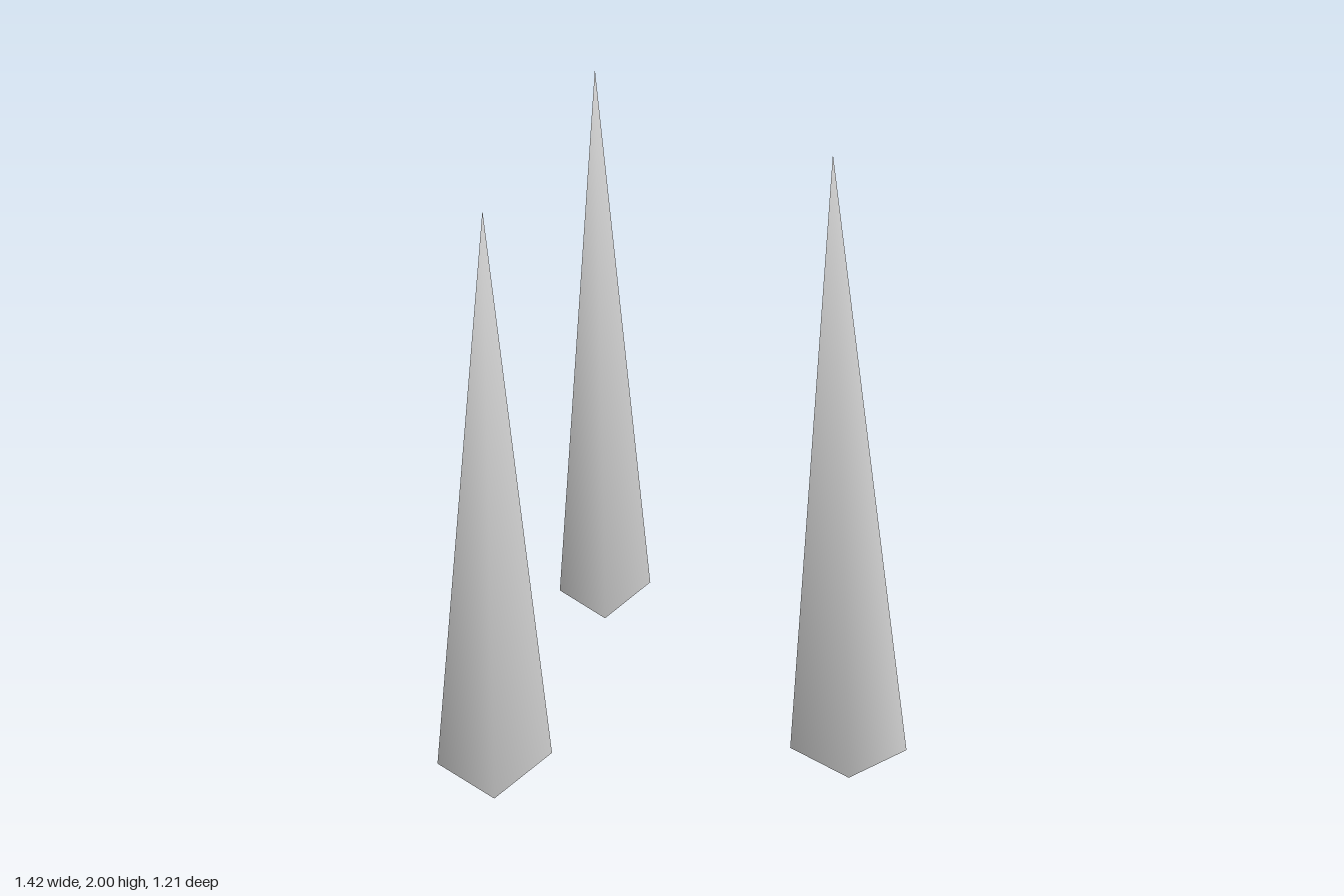
import * as THREE from 'three';

const stone = new THREE.MeshStandardMaterial({ color: 0xcccccc, side: THREE.DoubleSide });
stone.name = 'pale grey';

// Each spike: a tip and four base corners, running back left, back right, front right, front left
const spikes = [
  {
    name: 'tallSpike', tip: [0.51, 2, -0.32],
    base: [[0.51, 0.01, -0.47], [0.71, 0.03, -0.425], [0.7, 0.025, -0.195], [0.425, 0.003, -0.228]],
  },
  {
    name: 'smallSpike', tip: [-0.59, 1.8, -0.435],
    base: [[-0.71, 0.022, -0.565], [-0.53, 0.028, -0.605], [-0.5, 0.006, -0.387], [-0.7, 0.015, -0.4]],
  },
  {
    name: 'frontSpike', tip: [-0.087, 1.915, 0.537],
    base: [[-0.24, 0.02, 0.37], [-0.015, 0.03, 0.32], [0.025, 0.004, 0.6], [-0.23, 0.012, 0.58]],
  },
];

// Open-bottomed leaning pyramid with shared corners, so its shading is smooth
function spikeGeometry(tip, base) {
  const geometry = new THREE.BufferGeometry();
  geometry.setAttribute('position', new THREE.Float32BufferAttribute([...base.flat(), ...tip], 3));
  const index = [];
  const n = base.length;
  for (let i = 0; i < n; i++) index.push((i + 1) % n, i, n);
  geometry.setIndex(index);
  geometry.computeVertexNormals();
  return geometry;
}

export function createModel() {
  const group = new THREE.Group();
  group.name = 'spikes';
  for (const { name, tip, base } of spikes) {
    const mesh = new THREE.Mesh(spikeGeometry(tip, base), stone);
    mesh.name = name;
    group.add(mesh);
  }
  return group;
}
